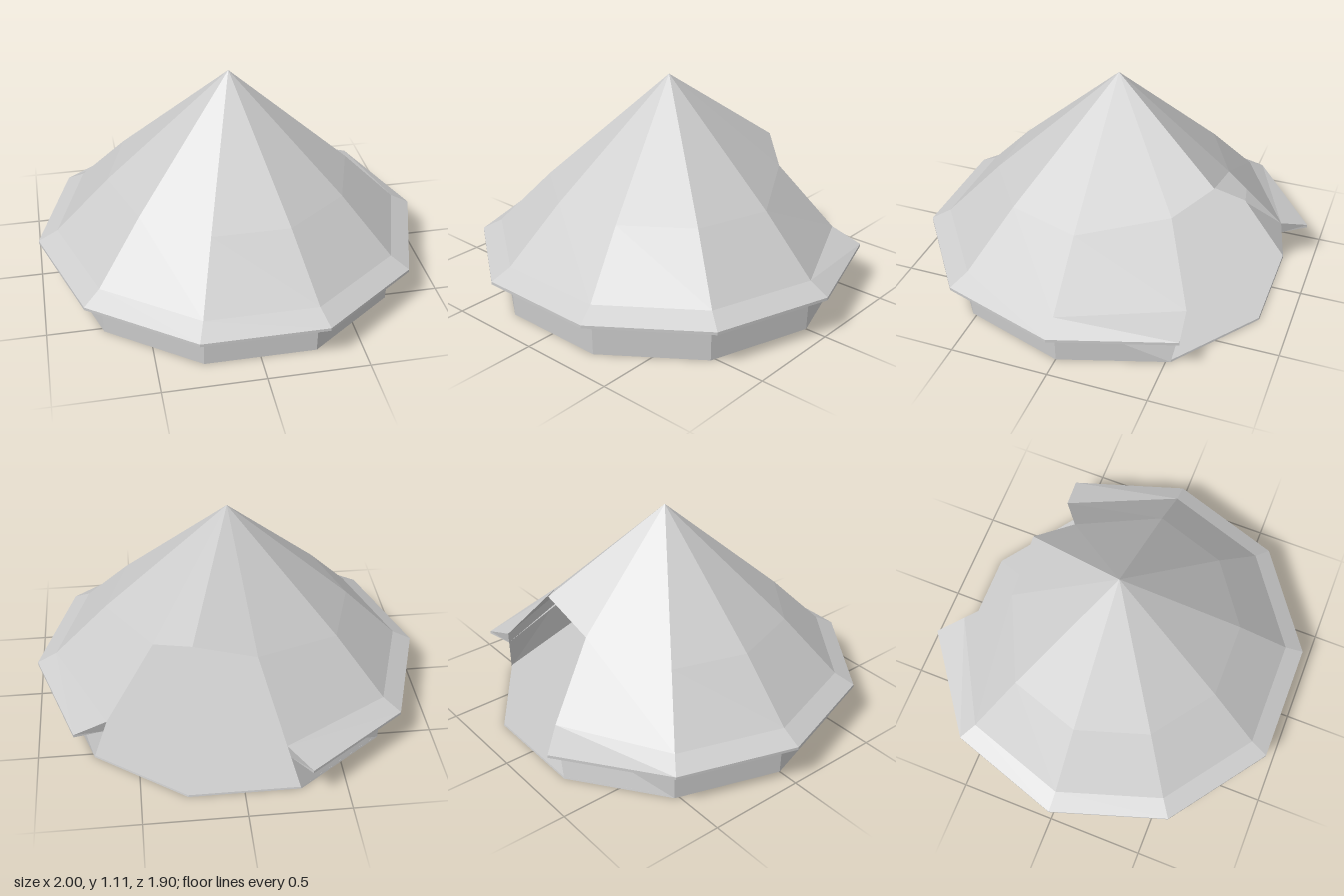
import * as THREE from 'three';

const SIDES = 10;
const DOOR = [7, 8]; // sectors left open at the back

const material = new THREE.MeshStandardMaterial({
  color: 0xcccccc, flatShading: true, side: THREE.DoubleSide,
});

// Ten-sided ring of points; moved = { index: [x, y, z] } shifts single corners
function ring(radius, y, moved = {}) {
  return Array.from({ length: SIDES }, (_, k) => {
    const a = (k / SIDES) * Math.PI * 2;
    return moved[k]
      ? new THREE.Vector3(...moved[k])
      : new THREE.Vector3(radius * Math.cos(a), y, radius * Math.sin(a));
  });
}

function meshFrom(name, points) {
  const geometry = new THREE.BufferGeometry().setFromPoints(points);
  geometry.computeVertexNormals();
  const mesh = new THREE.Mesh(geometry, material);
  mesh.name = name;
  return mesh;
}

// Band of faces from a lower ring to an upper ring, skipping the open sectors
function band(name, lower, upper, skip = DOOR) {
  const points = [];
  for (let k = 0; k < SIDES; k++) {
    if (skip.includes(k)) continue;
    const n = (k + 1) % SIDES;
    points.push(lower[k], upper[k], upper[n], lower[k], upper[n], lower[n]);
  }
  return meshFrom(name, points);
}

export function createModel() {
  const group = new THREE.Group();
  group.name = 'hut';

  // Cross-section rings, with the corners around the doorway pulled aside
  const base = ring(0.89, 0);
  const wallTop = ring(0.9, 0.27, { 7: [-0.2, 0.27, -0.83], 9: [0.645, 0.27, -0.57] });
  const eaveBottom = ring(1, 0.2);
  const eaveTop = ring(1, 0.215);
  const middle = ring(0.625, 0.55, {
    7: [-0.09, 0.6, -0.56], 8: [0.22, 0.69, -0.565], 9: [0.4, 0.6, -0.41],
  });
  const wallAtEave = base.map((p, k) => p.clone().lerp(wallTop[k], 0.2 / 0.27));
  const apex = Array(SIDES).fill(new THREE.Vector3(0, 1.11, 0));

  // Floor slab
  const floor = new THREE.Mesh(new THREE.CylinderGeometry(0.888, 0.89, 0.01, SIDES), material);
  floor.name = 'floor';
  floor.position.y = 0.005;
  floor.rotation.y = Math.PI / 2;
  group.add(floor);

  // Wall and roof
  group.add(
    band('wall', base, wallTop),
    band('eaveUnderside', wallAtEave, eaveBottom),
    band('eaveEdge', eaveBottom, eaveTop),
    band('eaveSlope', eaveTop, wallTop),
    band('lowerRoof', wallTop, middle),
  );

  // Roof cone, closed all round above the doorway
  const cone = [];
  for (let k = 0; k < SIDES; k++) cone.push(middle[k], apex[k], middle[(k + 1) % SIDES]);
  group.add(meshFrom('upperRoof', cone));

  // Caps closing the eave on both sides of the doorway
  for (const [k, name] of [[7, 'eaveCapRight'], [9, 'eaveCapLeft']]) {
    group.add(meshFrom(name, [
      wallAtEave[k], eaveBottom[k], eaveTop[k],
      wallAtEave[k], eaveTop[k], wallTop[k],
    ]));
  }

  return group;
}
